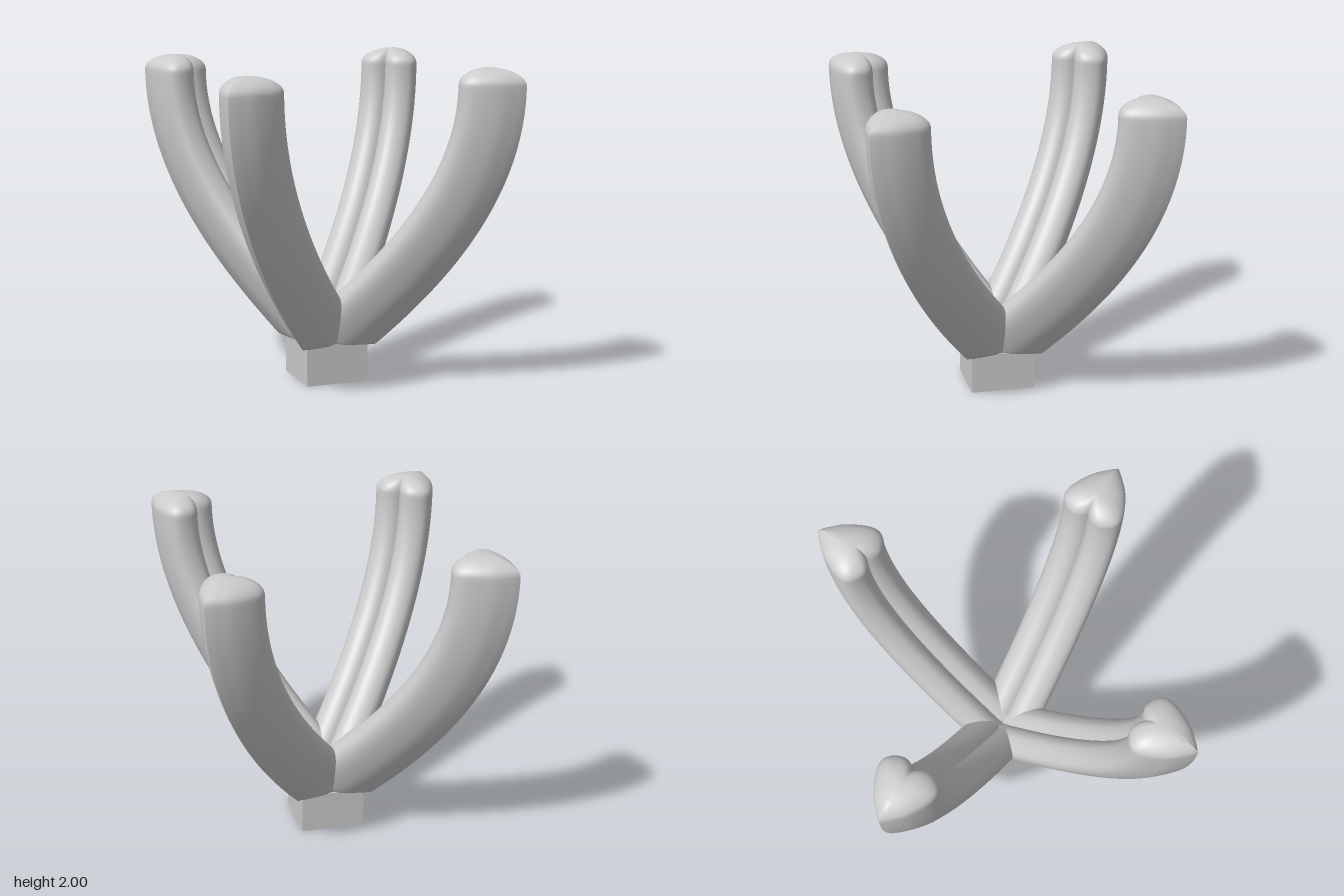
import * as THREE from 'three';
import { toCreasedNormals } from 'three/addons/utils/BufferGeometryUtils.js';

const V2 = (x, y) => new THREE.Vector2(x, y);

// Heart outline: x = outward from the spine, y = sideways; notch first, tip halfway round
function heartOutline() {
  const lobe = new THREE.SplineCurve([
    V2(-0.03, 0), V2(-0.058, 0.03), V2(-0.073, 0.085), V2(-0.045, 0.15), V2(0.005, 0.187),
    V2(0.084, 0.177), V2(0.2, 0.117), V2(0.278, 0.046), V2(0.308, 0.012), V2(0.317, 0),
  ]).getSpacedPoints(32);
  const mirrored = lobe.slice(1, -1).reverse().map((p) => V2(p.x, -p.y));
  return [...lobe, ...mirrored];
}

function armGeometry() {
  const floor = 0.243, capBase = 1.9, capHeight = 0.1, capCentre = 0.08;
  const heart = heartOutline(), n = heart.length;
  const spine = new THREE.CubicBezierCurve(V2(0, 0.37), V2(0.45, 0.76), V2(0.97, 1.3), V2(0.97, capBase));
  const positions = [], index = [];
  let rings = 0;

  // Sweep the heart along the spine, cut flat underneath
  const steps = 80;
  for (let i = 0; i <= steps; i++, rings++) {
    const c = spine.getPoint(i / steps), t = spine.getTangent(i / steps);
    for (const p of heart) {
      positions.push(c.x + p.x * t.y, Math.max(floor, c.y - p.x * t.x), p.y);
    }
  }
  // Domed tip: shrinking hearts on an elliptical profile
  const domeSteps = 14;
  for (let i = 1; i <= domeSteps; i++, rings++) {
    const a = (i / domeSteps) * Math.PI / 2;
    const k = i === domeSteps ? 0 : Math.cos(a);
    for (const p of heart) {
      positions.push(0.97 + capCentre + (p.x - capCentre) * k, capBase + capHeight * Math.sin(a), p.y * k);
    }
  }
  for (let i = 0; i < rings - 1; i++) {
    for (let j = 0; j < n; j++) {
      const a = i * n + j, b = i * n + (j + 1) % n;
      index.push(a, b, b + n);
      if (i < rings - 2) index.push(a, b + n, a + n);
    }
  }
  const g = new THREE.BufferGeometry();
  g.setAttribute('position', new THREE.Float32BufferAttribute(positions, 3));
  g.setIndex(index);
  return toCreasedNormals(g, 0.6);
}

export function createModel() {
  const model = new THREE.Group();
  model.name = 'fourArmHolder';
  const material = new THREE.MeshStandardMaterial({ color: 0xcccccc });

  // Square foot
  const foot = new THREE.Mesh(new THREE.BoxGeometry(0.4, 0.25, 0.4), material);
  foot.name = 'foot';
  foot.position.y = 0.125;
  model.add(foot);

  // Four curved arms on the diagonals
  const geometry = armGeometry();
  ['frontRightArm', 'frontLeftArm', 'backLeftArm', 'backRightArm'].forEach((name, i) => {
    const arm = new THREE.Mesh(geometry, material);
    arm.name = name;
    arm.rotation.y = -Math.PI * 0.75 + i * Math.PI / 2;
    model.add(arm);
  });
  // Name order follows the rotation: -135, -45, 45 and 135 degrees
  ['frontRightArm', 'frontLeftArm', 'backLeftArm', 'backRightArm'].forEach((name, i) => {
    model.children[i + 1].name = name;
  });
  return model;
}
